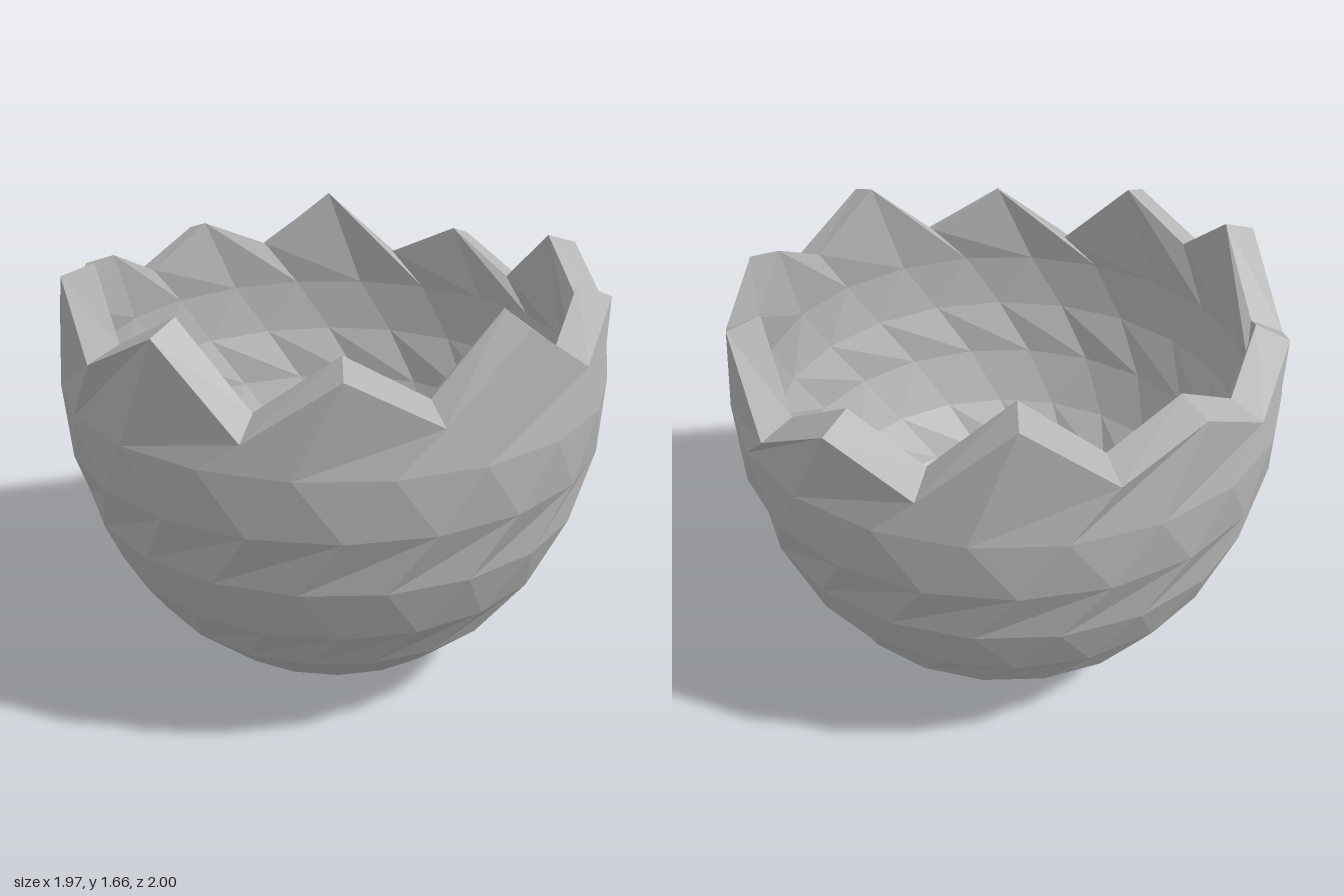
import * as THREE from 'three';

const SIDES = 20;
const STEP = (Math.PI * 2) / SIDES;

// [radius, height, half-step offset] of each ring, from the bottom up
const RINGS = [
  [0.52, 0.17, 0], [0.705, 0.34, 1], [0.835, 0.53, 0],
  [0.926, 0.75, 1], [0.98, 0.97, 0], [0.997, 1.19, 1],
];

// Heights of the broken edge, valley and peak in turn, starting at the front
const RIM = [
  1.30, 1.51, 1.345, 1.60, 1.40, 1.545, 1.41, 1.57, 1.32, 1.48,
  1.34, 1.60, 1.38, 1.51, 1.36, 1.50, 1.36, 1.63, 1.42, 1.58,
];

function ringPoint(radius, y, angle) {
  return new THREE.Vector3(radius * Math.sin(angle), y, radius * Math.cos(angle));
}

// Rows of points for the outer surface; the last row is the jagged rim
function outerRows() {
  const rows = RINGS.map(([r, y, half]) =>
    Array.from({ length: SIDES }, (_, i) => ringPoint(r, y, (i + half / 2) * STEP)));
  rows.push(RIM.map((y, i) =>
    ringPoint(Math.sqrt(1 - ((y - 1.3) / 1.323) ** 2), y, i * STEP)));
  return rows;
}

function meshFrom(name, triangles, material) {
  const geometry = new THREE.BufferGeometry().setFromPoints(triangles);
  geometry.computeVertexNormals();
  const mesh = new THREE.Mesh(geometry, material);
  mesh.name = name;
  return mesh;
}

// Bowl surface: a cone at the bottom, then bands of staggered and sheared triangles
function bowlTriangles(rows, pole, inward) {
  const out = [];
  const add = (a, b, c) => (inward ? out.push(a, c, b) : out.push(a, b, c));
  for (let i = 0; i < SIDES; i++) {
    add(pole, rows[0][(i + 1) % SIDES], rows[0][i]);
  }
  for (let k = 0; k < rows.length - 1; k++) {
    // Rows with a half-step offset connect to the next whole step above
    const shift = k % 2;
    for (let i = 0; i < SIDES; i++) {
      const j = (i + 1) % SIDES;
      const a = rows[k][i], b = rows[k][j];
      const c = rows[k + 1][(i + shift) % SIDES], d = rows[k + 1][(j + shift) % SIDES];
      if (shift) {
        add(a, b, d);
        add(a, d, c);
      } else {
        add(a, b, c);
        add(b, d, c);
      }
    }
  }
  return out;
}

export function createModel() {
  const shell = new THREE.MeshStandardMaterial({ color: 0xb4b4b4, flatShading: true });
  shell.name = 'shell grey';

  const outer = outerRows();
  const toInner = (p) => new THREE.Vector3(p.x * 0.88, p.y * 0.945 + 0.124, p.z * 0.88);
  const inner = outer.map((row) => row.map(toInner));
  const pole = new THREE.Vector3(0, 0, 0);

  // Strip joining the outer and inner broken edges
  const o = outer[outer.length - 1], n = inner[inner.length - 1];
  const edge = [];
  for (let i = 0; i < SIDES; i++) {
    const j = (i + 1) % SIDES;
    edge.push(o[i], o[j], n[j], o[i], n[j], n[i]);
  }

  const group = new THREE.Group();
  group.name = 'brokenEggshell';
  group.add(
    meshFrom('outerShell', bowlTriangles(outer, pole, false), shell),
    meshFrom('innerShell', bowlTriangles(inner, toInner(pole), true), shell),
    meshFrom('brokenEdge', edge, shell),
  );
  return group;
}
